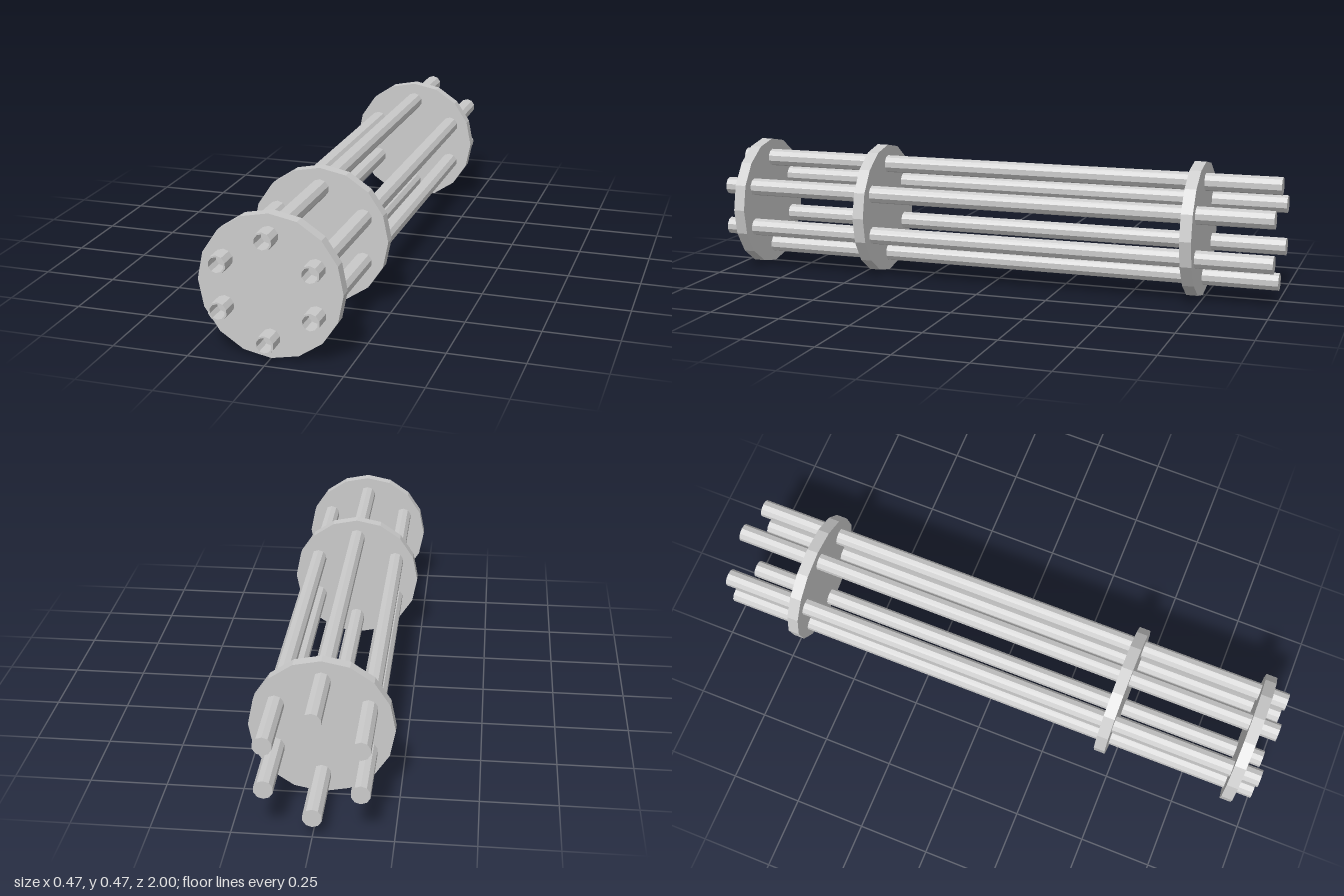
import * as THREE from 'three';

export function createModel() {
  const model = new THREE.Group();
  const material = new THREE.MeshStandardMaterial({ color: 0xcccccc, flatShading: true });
  const centreY = 0.2335;

  // Barrel: closed at the back, with a bore sunk into the front end
  const radius = 0.031, boreRadius = 0.025, boreDepth = 0.1;
  const profile = [
    [0, -1], [radius, -1], [radius, 1], [boreRadius, 1], [boreRadius, 1 - boreDepth], [0, 1 - boreDepth],
  ].map(([r, z]) => new THREE.Vector2(r, z));
  const barrelGeometry = new THREE.LatheGeometry(profile, 10).rotateX(Math.PI / 2);

  // Six barrels in a ring
  const barrels = new THREE.Group();
  barrels.name = 'barrels';
  const ring = [[0, 0.163], [0.147, 0.075], [0.147, -0.075], [0, -0.166], [-0.147, -0.075], [-0.147, 0.075]];
  ring.forEach(([x, y], i) => {
    const barrel = new THREE.Mesh(barrelGeometry, material);
    barrel.name = `barrel${i + 1}`;
    barrel.position.set(x, centreY + y, 0);
    barrels.add(barrel);
  });
  model.add(barrels);

  // Sixteen-sided plates holding the barrels together
  const plateGeometry = new THREE.CylinderGeometry(0.2325, 0.2325, 0.04, 16).rotateX(Math.PI / 2);
  const plates = { frontPlate: 0.92, middlePlate: 0.45, rearPlate: -0.72 };
  for (const [name, z] of Object.entries(plates)) {
    const plate = new THREE.Mesh(plateGeometry, material);
    plate.name = name;
    plate.position.set(0, centreY, z);
    model.add(plate);
  }

  return model;
}
